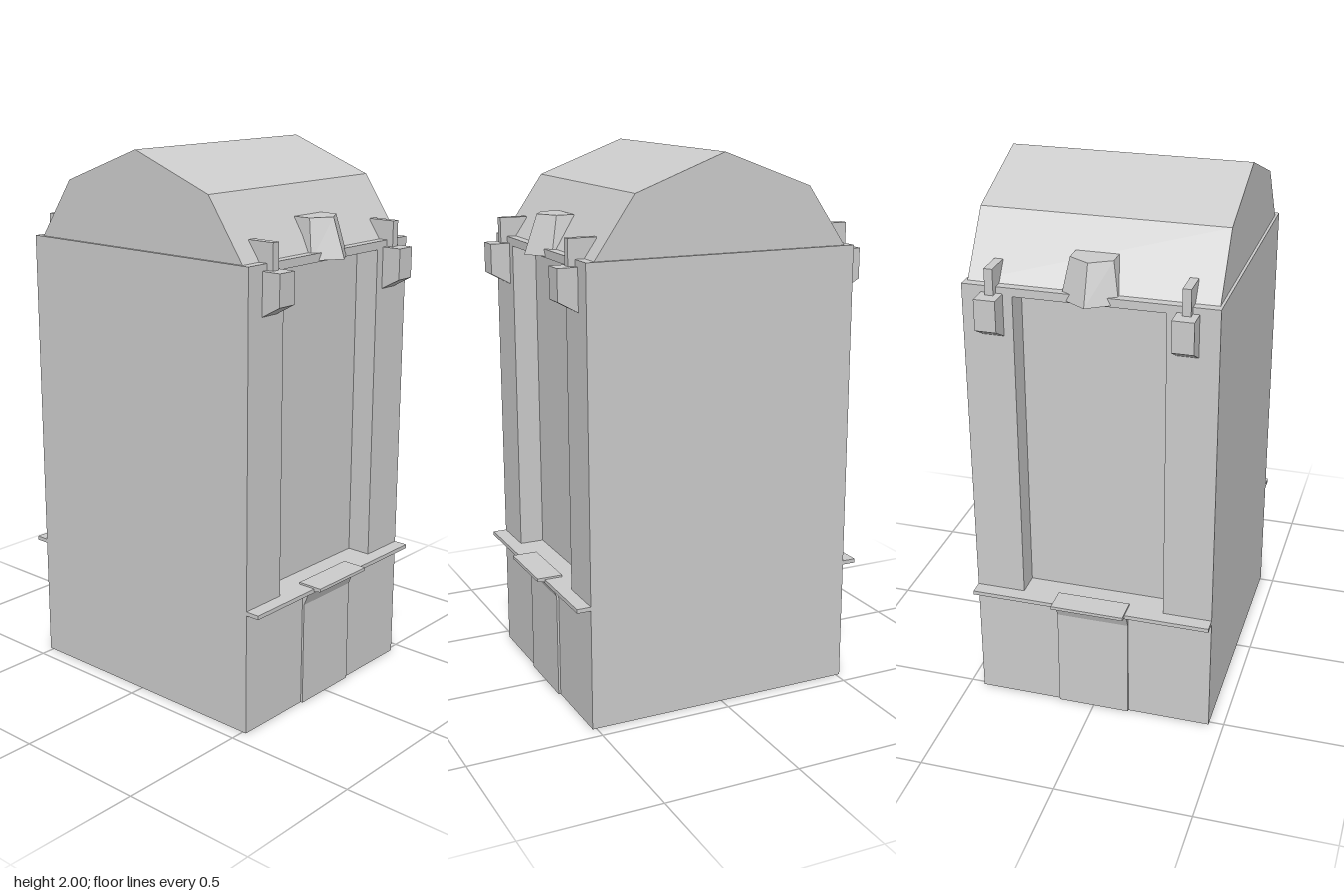
import * as THREE from 'three';

const material = new THREE.MeshStandardMaterial({ color: 0xcccccc, flatShading: true });

function part(parent, name, geometry) {
  const mesh = new THREE.Mesh(geometry, material);
  mesh.name = name;
  parent.add(mesh);
  return mesh;
}

// Box given by its limits on each axis
function box(x0, x1, y0, y1, z0, z1) {
  return new THREE.BoxGeometry(x1 - x0, y1 - y0, z1 - z0)
    .translate((x0 + x1) / 2, (y0 + y1) / 2, (z0 + z1) / 2);
}

// Side profile of [z, y] points, extruded along x
function sideProfile(points, width, x = 0) {
  const shape = new THREE.Shape(points.map(([z, y]) => new THREE.Vector2(z, y)));
  return new THREE.ExtrudeGeometry(shape, { depth: width, bevelEnabled: false })
    .translate(0, 0, -width / 2)
    .rotateY(-Math.PI / 2)
    .translate(x, 0, 0);
}

// Tapered block between two outlines of [x, z] points
function taperedBlock(bottom, top, y0, y1) {
  const n = bottom.length;
  const positions = [];
  bottom.forEach(([x, z]) => positions.push(x, y0, z));
  top.forEach(([x, z]) => positions.push(x, y1, z));
  const index = [];
  for (let i = 0; i < n; i++) {
    const j = (i + 1) % n;
    index.push(i, j, n + j, i, n + j, n + i);
    if (i > 0 && i < n - 1) index.push(0, i + 1, i, n, n + i, n + i + 1);
  }
  const geometry = new THREE.BufferGeometry();
  geometry.setAttribute('position', new THREE.Float32BufferAttribute(positions, 3));
  geometry.setIndex(index);
  const flat = geometry.toNonIndexed();
  flat.computeVertexNormals();
  return flat;
}

function createFacade() {
  const facade = new THREE.Group();

  // Wall with the tall recessed opening
  const wall = new THREE.Shape([
    [-0.445, 0], [0.445, 0], [0.445, 1.66], [-0.445, 1.66],
  ].map(([x, y]) => new THREE.Vector2(x, y)));
  wall.holes.push(new THREE.Path([
    [-0.265, 0.465], [-0.265, 1.63], [0.265, 1.63], [0.265, 0.465],
  ].map(([x, y]) => new THREE.Vector2(x, y))));
  part(facade, 'recessedWall',
    new THREE.ExtrudeGeometry(wall, { depth: 0.09, bevelEnabled: false }).translate(0, 0, 0.425));

  // Ledge, with a wider sill and pilaster in the middle
  part(facade, 'ledge', box(-0.445, 0.445, 0.45, 0.465, 0.5, 0.567));
  part(facade, 'centreSill', sideProfile([
    [0.5, 0], [0.523, 0], [0.523, 0.39], [0.54, 0.432], [0.567, 0.455],
    [0.595, 0.46], [0.595, 0.472], [0.5, 0.472],
  ], 0.27));

  // Corbels carrying upright fins
  for (const side of [-1, 1]) {
    const name = side > 0 ? 'left' : 'right';
    part(facade, name + 'Corbel', sideProfile([
      [0.5, 1.479], [0.515, 1.485], [0.588, 1.525], [0.588, 1.637], [0.5, 1.637],
    ], 0.076, side * 0.337));
    part(facade, name + 'Fin', box(side * 0.337 - 0.015, side * 0.337 + 0.015, 1.63, 1.73, 0.436, 0.54));
  }

  // Pointed keystone against the roof
  part(facade, 'keystone', taperedBlock(
    [[-0.085, 0.405], [-0.1, 0.5], [0, 0.565], [0.1, 0.5], [0.085, 0.405]],
    [[-0.075, 0.405], [-0.075, 0.47], [0, 0.515], [0.075, 0.47], [0.075, 0.405]],
    1.635, 1.775));

  return facade;
}

export function createModel() {
  const model = new THREE.Group();
  model.name = 'tower';

  part(model, 'bodyCore', box(-0.445, 0.445, 0, 1.66, -0.425, 0.425));

  // Faceted roof running from side to side
  part(model, 'roof', sideProfile([
    [-0.485, 1.655], [0.485, 1.655], [0.333, 1.875], [0, 2], [-0.333, 1.875],
  ], 0.87));

  // Matching front and back
  const front = createFacade();
  front.name = 'frontFacade';
  const back = createFacade();
  back.name = 'backFacade';
  back.rotation.y = Math.PI;
  model.add(front, back);

  return model;
}
